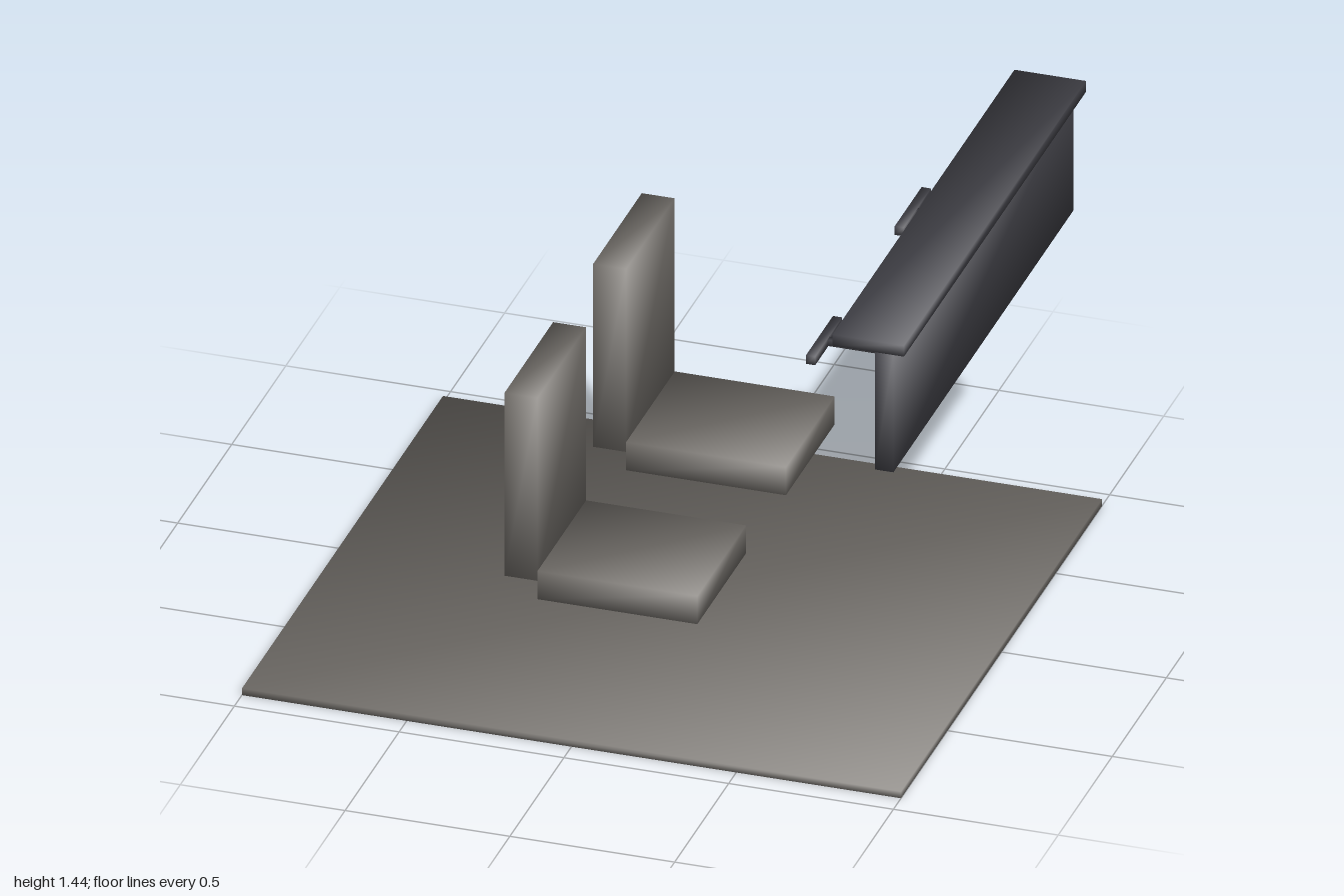
import * as THREE from 'three';
import { mergeVertices } from 'three/addons/utils/BufferGeometryUtils.js';

const upholstery = new THREE.MeshStandardMaterial({ color: 0x7d7974 });
upholstery.name = 'warmGrey';
const dark = new THREE.MeshStandardMaterial({ color: 0x4a4a51 });
dark.name = 'darkGrey';

// Box from its min and max corners, with eight shared corners and smooth normals
function block(name, material, [x0, y0, z0], [x1, y1, z1]) {
  let geometry = new THREE.BoxGeometry(x1 - x0, y1 - y0, z1 - z0);
  geometry.deleteAttribute('uv');
  geometry.deleteAttribute('normal');
  geometry = mergeVertices(geometry);
  geometry.clearGroups();
  const p = geometry.attributes.position;
  const normals = Array.from(p.array, (v) => Math.sign(v) / Math.sqrt(3));
  geometry.setAttribute('normal', new THREE.Float32BufferAttribute(normals, 3));
  const mesh = new THREE.Mesh(geometry, material);
  mesh.position.set((x0 + x1) / 2, (y0 + y1) / 2, (z0 + z1) / 2);
  mesh.name = name;
  return mesh;
}

function createSeat() {
  const seat = new THREE.Group();
  seat.add(
    block('seatCushion', upholstery, [-0.2, 0.298, -0.225], [0.285, 0.39, 0.225]),
    block('seatBack', upholstery, [-0.3, 0.358, -0.225], [-0.2, 0.958, 0.225])
  );
  return seat;
}

function createYoke() {
  const yoke = new THREE.Group();
  yoke.add(
    block('yokeShaft', dark, [0.605, 1.155, -0.01], [0.895, 1.175, 0.01]),
    block('yokeHandle', dark, [0.582, 1.151, -0.125], [0.61, 1.179, 0.125])
  );
  return yoke;
}

export function createModel() {
  const model = new THREE.Group();
  model.name = 'cockpit';

  model.add(
    block('floor', upholstery, [-1, 0, -0.93], [1, 0.022, 0.93]),
    block('instrumentPanel', dark, [0.89, 1.01, -0.833], [0.945, 1.4, 0.833]),
    block('glareShield', dark, [0.763, 1.4, -0.842], [0.98, 1.436, 0.842]),
    block('throttleLever', dark, [0.772, 1.1, -0.008], [0.895, 1.116, 0.008])
  );

  // One seat and control yoke per station
  for (const [label, z] of [['left', -0.41], ['right', 0.41]]) {
    const seat = createSeat();
    seat.name = label + 'Seat';
    seat.position.z = z;
    const yoke = createYoke();
    yoke.name = label + 'Yoke';
    yoke.position.z = z;
    model.add(seat, yoke);
  }
  return model;
}
